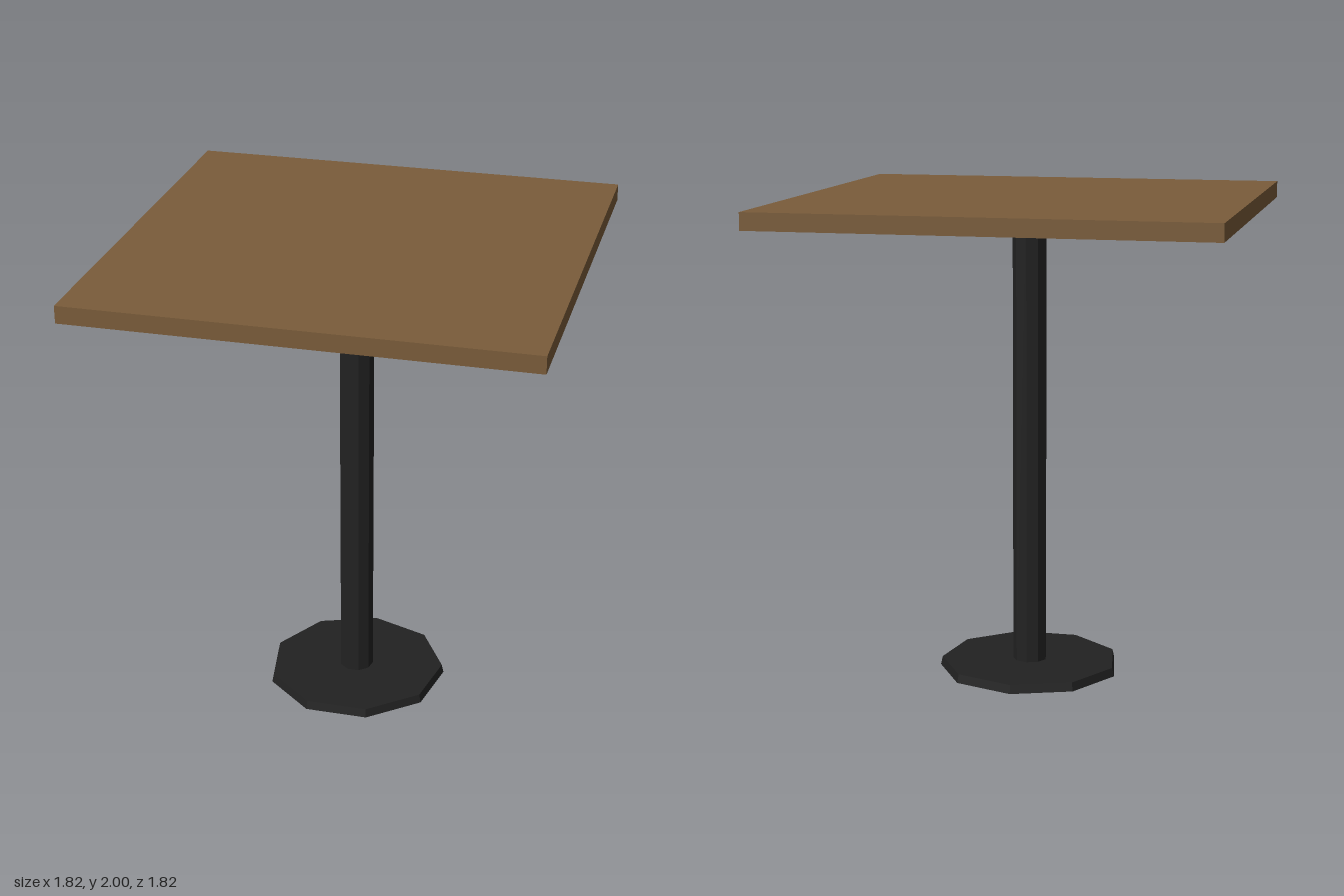
import * as THREE from 'three';

export function createModel() {
  const model = new THREE.Group();
  model.name = 'pedestalTable';

  const wood = new THREE.MeshStandardMaterial({ color: 0x7a5c3a });
  wood.name = 'brown wood';
  const metal = new THREE.MeshStandardMaterial({ color: 0x222222 });
  metal.name = 'black metal';
  metal.flatShading = true;

  const SIDES = 9;

  function addPart(name, geometry, material, bottom, height) {
    const mesh = new THREE.Mesh(geometry, material);
    mesh.name = name;
    mesh.position.y = bottom + height / 2;
    model.add(mesh);
    return mesh;
  }

  // Nine-sided prism with a flat side to the front and a corner to the back
  function addPrism(name, topRadius, bottomRadius, bottom, height) {
    const geometry = new THREE.CylinderGeometry(topRadius, bottomRadius, height, SIDES);
    geometry.rotateY(Math.PI);
    addPart(name, geometry, metal, bottom, height);
  }

  // Foot plate, slightly tapered towards the top
  addPrism('base', 0.373, 0.381, 0, 0.036);

  // Central post
  addPrism('column', 0.071, 0.071, 0.036, 1.894);

  // Square top
  addPart('tabletop', new THREE.BoxGeometry(1.82, 0.07, 1.82), wood, 1.93, 0.07);

  return model;
}
